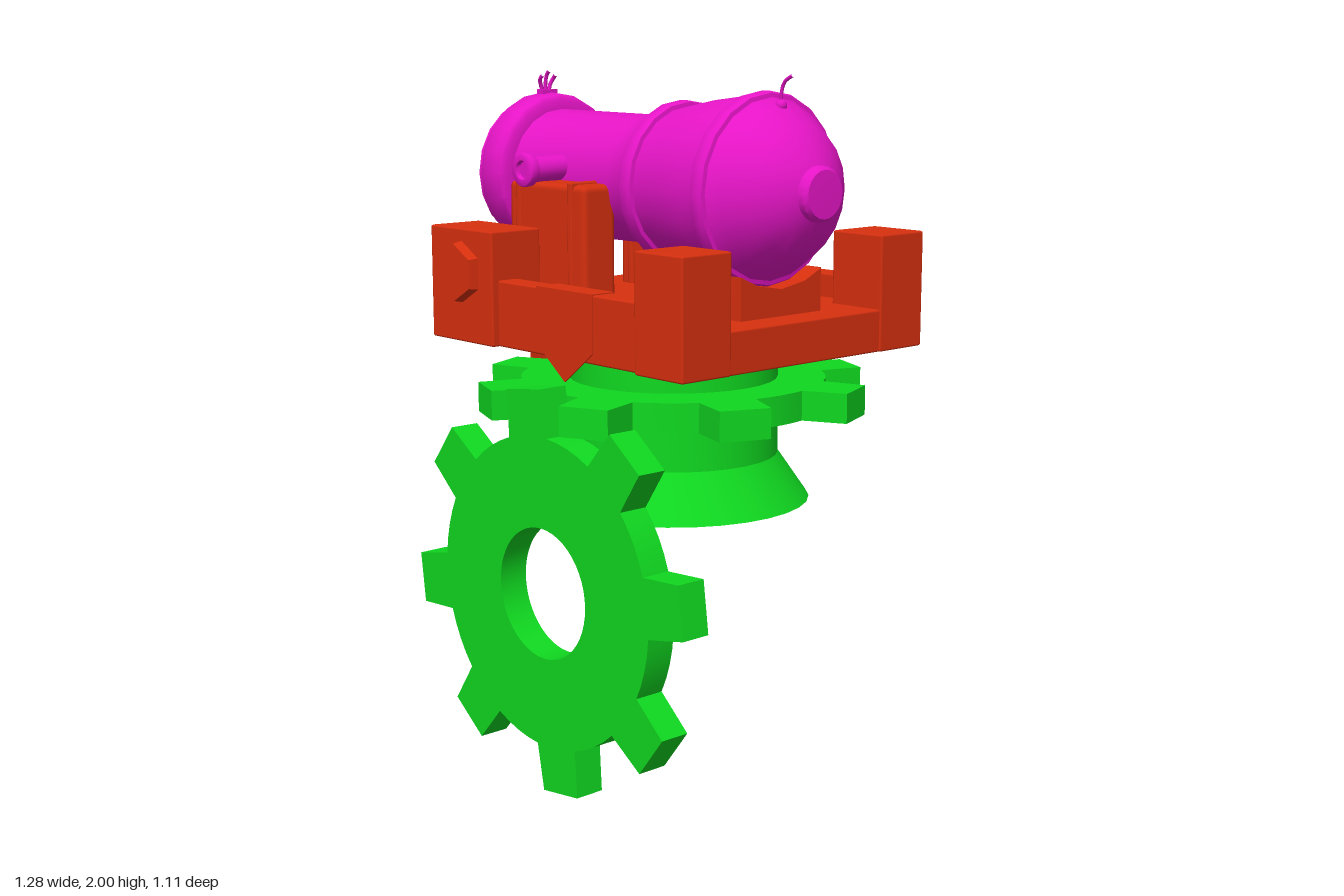
import * as THREE from 'three';
import { toCreasedNormals } from 'three/addons/utils/BufferGeometryUtils.js';
import { RoundedBoxGeometry } from 'three/addons/geometries/RoundedBoxGeometry.js';

const paint = (color, side = THREE.FrontSide) => new THREE.MeshStandardMaterial({ color, side });
const V = (x, y, z) => new THREE.Vector3(x, y, z);

export function createModel() {
  const model = new THREE.Group();
  const purple = paint(0xe815c8), red = paint(0xd8300f), green = paint(0x10d820);
  const greenShell = paint(0x10d820, THREE.DoubleSide), redCloth = paint(0xd8300f, THREE.DoubleSide);

  function add(name, geometry, material, x = 0, y = 0, z = 0, parent = model) {
    const mesh = new THREE.Mesh(geometry, material);
    mesh.name = name;
    mesh.position.set(x, y, z);
    parent.add(mesh);
    return mesh;
  }
  // Block given by its limits on each axis
  function block(name, [x0, x1], [y0, y1], [z0, z1], r = 0.006, parent = model) {
    return add(name, new RoundedBoxGeometry(x1 - x0, y1 - y0, z1 - z0, 1, r), red,
      (x0 + x1) / 2, (y0 + y1) / 2, (z0 + z1) / 2, parent);
  }
  const polygon = pts => new THREE.Shape(pts.map(p => new THREE.Vector2(...p)));
  const slab = (shape, depth) => new THREE.ExtrudeGeometry(shape, { depth, bevelEnabled: false, curveSegments: 24 });

  // Eight-toothed gear lying in the xy plane, centred on its thickness
  function gear(root, tip, hole, depth, phase) {
    const pts = [], half = Math.asin(0.083 / root);
    for (let i = 0; i < 8; i++) {
      const a = phase + i * Math.PI / 4;
      const at = (r, w) => pts.push([r * Math.cos(a) - w * Math.sin(a), r * Math.sin(a) + w * Math.cos(a)]);
      at(root * Math.cos(half), -0.083);
      at(tip, -0.074);
      at(tip, 0.074);
      at(root * Math.cos(half), 0.083);
      for (let k = 1; k < 4; k++) {
        const b = a + half + (Math.PI / 4 - 2 * half) * k / 4;
        pts.push([root * Math.cos(b), root * Math.sin(b)]);
      }
    }
    const shape = polygon(pts);
    shape.holes.push(new THREE.Path().absarc(0, 0, hole, 0, Math.PI * 2, true));
    return toCreasedNormals(slab(shape, depth).translate(0, 0, -depth / 2), 0.5);
  }
  add('driveGear', gear(0.445, 0.573, 0.187, 0.09, 0.125), green, 0.062, 0.58, 0.505);
  add('turntableGear', gear(0.445, 0.568, 0.29, 0.085, Math.PI / 8), green, 0, 1.082, 0).rotation.x = -Math.PI / 2;

  // Hollow flared pedestal
  const pedestal = [[0.4, 0.765], [0.307, 0.9], [0.305, 1.23]].map(p => new THREE.Vector2(...p));
  add('pedestal', toCreasedNormals(new THREE.LatheGeometry(pedestal, 32), 0.45), greenShell);

  // Carriage
  block('carriageFloor', [-0.54, 0.54], [1.225, 1.345], [-0.443, 0.443]);
  for (const s of [1, -1]) {
    const side = new THREE.Group();
    side.name = s > 0 ? 'frontCarriageSide' : 'backCarriageSide';
    model.add(side);
    const zs = (a, b) => s > 0 ? [a, b] : [-b, -a];
    block('muzzleCornerBlock', [-0.545, -0.253], [1.225, 1.555], zs(0.29, 0.466), 0.006, side);
    block('breechCornerBlock', [0.358, 0.545], [1.225, 1.555], zs(0.29, 0.466), 0.006, side);
    block('sideRail', [-0.26, 0.365], [1.225, 1.415], zs(0.37, 0.443), 0.006, side);
    // Cheek holding the trunnion, with two raised straps
    block('cheek', [-0.415, -0.07], [1.33, 1.685], zs(0.155, 0.277), 0.02, side);
    for (const x of [-0.365, -0.13])
      block('cheekStrap', [x - 0.011, x + 0.011], [1.33, 1.692], zs(0.15, 0.282), 0.006, side);
    // Hexagonal bolt head
    const bolt = add('bolt', new THREE.CylinderGeometry(0.083, 0.09, 0.034, 6).toNonIndexed(), red, -0.395, 1.43, s * 0.479, side);
    bolt.geometry.computeVertexNormals();
    bolt.rotation.set(s * Math.PI / 2, 0, 0);
    // Pointed cloth draped over the rail
    const drape = polygon([[-0.12, 1.418], [-0.12, 1.255], [0, 1.163], [0.12, 1.255], [0.12, 1.418]]);
    add('railDrape', slab(drape, 0.004), redCloth, 0.045, 0, s > 0 ? 0.443 : -0.447, side);
    add('railDrapeTop', new THREE.BoxGeometry(0.24, 0.004, 0.078), redCloth, 0.045, 1.416, s * 0.407, side);
  }
  // Swallow-tailed pennant under the muzzle
  const pennant = polygon([[-0.1, 1.345], [-0.1, 0.96], [0, 1.06], [0.1, 0.96], [0.1, 1.345]]);
  add('pennant', slab(pennant, 0.004), redCloth, -0.544, 0, 0).rotation.y = -Math.PI / 2;

  // Cradle with a hollowed top under the breech
  const cradle = polygon([[-0.155, 1.34], [0.155, 1.34], [0.155, 1.465], [0.09, 1.435], [0, 1.42], [-0.09, 1.435], [-0.155, 1.465]]);
  add('breechCradle', slab(cradle, 0.19), red, 0.25, 0, 0).rotation.y = Math.PI / 2;

  // Barrel: profile of [radius, x] from the bore floor, round the muzzle, to the end knob
  const cannon = new THREE.Group();
  cannon.name = 'cannon';
  cannon.position.y = 1.688;
  model.add(cannon);
  const profile = [
    [0, -0.2], [0.145, -0.2], [0.145, -0.6], [0.16, -0.635], [0.18, -0.645], [0.208, -0.645], [0.218, -0.635],
    [0.218, -0.615], [0.228, -0.61], [0.237, -0.595], [0.237, -0.535], [0.23, -0.515], [0.215, -0.507],
    [0.19, -0.505], [0.187, -0.08], [0.198, -0.02], [0.213, 0.02], [0.228, 0.022], [0.232, 0.03], [0.232, 0.06],
    [0.228, 0.068], [0.216, 0.07], [0.235, 0.17], [0.25, 0.29], [0.253, 0.35], [0.263, 0.352], [0.267, 0.36],
    [0.267, 0.385], [0.262, 0.395], [0.25, 0.397], [0.228, 0.435], [0.182, 0.5], [0.12, 0.55], [0.076, 0.57],
    [0.076, 0.588], [0.066, 0.599], [0, 0.601]
  ].map(p => new THREE.Vector2(...p));
  const barrel = new THREE.LatheGeometry(profile, 20).rotateZ(-Math.PI / 2);
  add('barrel', toCreasedNormals(barrel, 0.75), purple, 0, 0, 0, cannon);

  // Trunnions with flanged, hollow ends
  const pin = [[0.037, 0.15], [0.037, 0.288], [0.047, 0.293], [0.049, 0.3], [0.049, 0.318], [0.045, 0.322],
    [0.028, 0.322], [0.024, 0.31], [0, 0.31]].map(p => new THREE.Vector2(...p));
  for (const s of [1, -1])
    add('trunnion', toCreasedNormals(new THREE.LatheGeometry(pin, 16), 0.8), purple, -0.293, 0.032, 0, cannon)
      .rotation.x = s * Math.PI / 2;

  // Curved prongs on the muzzle and a fuse at the breech
  const wire = (name, pts, r) => add(name, new THREE.TubeGeometry(
    new THREE.CatmullRomCurve3(pts.map(p => V(...p))), 8, r, 6), purple, 0, 0, 0, cannon);
  for (const s of [-1, 0, 1])
    wire('muzzleProng', [[-0.578, 0.225, s * 0.008], [-0.582, 0.26, s * 0.018],
      [-0.575, s ? 0.28 : 0.29, s * 0.026], [-0.563, s ? 0.29 : 0.303, s * 0.025]], 0.006);
  add('prongBase', new THREE.BoxGeometry(0.03, 0.014, 0.056), purple, -0.573, 0.24, 0, cannon);
  wire('fuse', [[0.428, 0.2, 0], [0.431, 0.26, 0], [0.443, 0.292, 0], [0.473, 0.309, 0]], 0.005);
  add('fuseHole', new THREE.SphereGeometry(0.017, 10, 8), purple, 0.43, 0.228, 0, cannon);

  return model;
}
